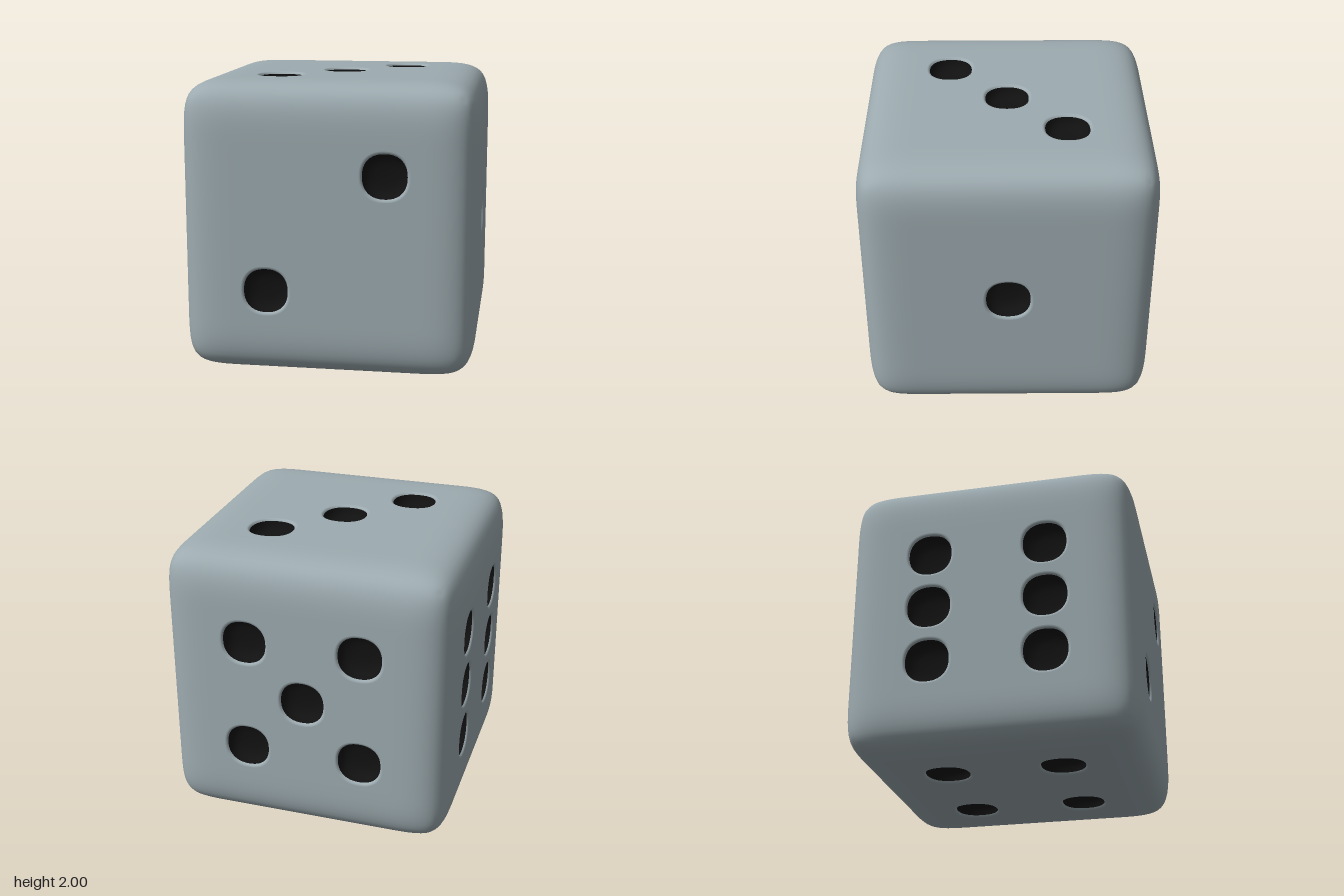
import * as THREE from 'three';
import { mergeVertices } from 'three/addons/utils/BufferGeometryUtils.js';

const FLAT = 0.6; // half width of the flat centre of each face
const SEGMENTS = 48;

// Slightly squared circle, shared by the holes and the bowls
const squircle = a =>
  Math.pow(Math.abs(Math.cos(a)) ** 2.3 + Math.abs(Math.sin(a)) ** 2.3, -1 / 2.3);

function smooth(geometry) {
  geometry.deleteAttribute('uv');
  geometry.deleteAttribute('normal');
  const merged = mergeVertices(geometry, 1e-5);
  merged.computeVertexNormals();
  return merged;
}

// Rounded edges and corners, leaving the flat centre of each face open
function edgeGeometry() {
  const g = new THREE.BoxGeometry(2, 2, 2, 40, 40, 40);
  const pos = g.attributes.position;
  const point = i => [pos.getX(i), pos.getY(i), pos.getZ(i)];
  const kept = [];
  for (let i = 0; i < g.index.count; i += 3) {
    const tri = [0, 1, 2].map(k => g.index.getX(i + k));
    const [a, b, c] = tri.map(point);
    const centre = a.map((v, k) => Math.abs(v + b[k] + c[k]) / 3).sort((m, n) => m - n);
    if (centre[1] > FLAT) kept.push(...tri);
  }
  g.setIndex(kept);
  for (let i = 0; i < pos.count; i++) {
    const p = point(i);
    const t = p.map(v => Math.max(0, (Math.abs(v) - FLAT) / (1 - FLAT)) ** 3);
    const all = t[0] * t[1] * t[2];
    const q = p.map((v, k) => {
      const drop = t[k] * (t[(k + 1) % 3] + t[(k + 2) % 3]) / 15 - all / 30;
      return v - Math.sign(v) * drop;
    });
    pos.setXYZ(i, ...q);
  }
  return smooth(g);
}

// Recess turned from a profile of [radius, height], facing +z
function recessGeometry(profile) {
  const g = new THREE.LatheGeometry(profile.map(p => new THREE.Vector2(...p)), SEGMENTS);
  const pos = g.attributes.position;
  for (let i = 0; i < pos.count; i++) {
    const k = squircle(Math.atan2(pos.getZ(i), pos.getX(i)));
    pos.setXYZ(i, pos.getX(i) * k, pos.getY(i), pos.getZ(i) * k);
  }
  g.rotateX(Math.PI / 2);
  return smooth(g);
}

// Flat centre of a face with a hole for each pip
function panelGeometry(pips) {
  const shape = new THREE.Shape([[-1, -1], [1, -1], [1, 1], [-1, 1]]
    .map(([x, y]) => new THREE.Vector2(x * FLAT, y * FLAT)));
  for (const [x, y] of pips) {
    const ring = [];
    for (let i = 0; i < SEGMENTS; i++) {
      const a = -i / SEGMENTS * Math.PI * 2;
      const r = 0.17 * squircle(a);
      ring.push(new THREE.Vector2(x + r * Math.cos(a), y + r * Math.sin(a)));
    }
    shape.holes.push(new THREE.Path(ring));
  }
  return new THREE.ShapeGeometry(shape);
}

export function createModel() {
  const model = new THREE.Group();
  model.name = 'die';
  const bodyMaterial = new THREE.MeshStandardMaterial({ color: 0x9dabb0 });
  const pipMaterial = new THREE.MeshStandardMaterial({ color: 0x111111 });

  const add = (parent, name, geometry, material, x = 0, y = 0, z = 0) => {
    const mesh = new THREE.Mesh(geometry, material);
    mesh.name = name;
    mesh.position.set(x, y, z);
    parent.add(mesh);
  };

  const cube = new THREE.Group();
  cube.name = 'cube';
  cube.position.y = 1;
  model.add(cube);
  add(cube, 'roundedEdges', edgeGeometry(), bodyMaterial);

  const rim = recessGeometry([[0.17, 0], [0.163, -0.001], [0.156, -0.005], [0.15, -0.015]]);
  const bowl = recessGeometry([[0.15, -0.015], [0.147, -0.04], [0.135, -0.068],
    [0.11, -0.088], [0.07, -0.098], [0, -0.1]]);

  // Pip layouts
  const s = 0.4;
  const one = [[0, 0]];
  const two = [[s, s], [-s, -s]];
  const four = [...two, [-s, s], [s, -s]];
  const six = [...four, [-s, 0], [s, 0]];
  const H = Math.PI / 2;
  const faces = [
    ['frontFace', two, 0, 0],
    ['backFace', [...four, ...one], 0, Math.PI],
    ['leftFace', one, 0, H],
    ['rightFace', six, 0, -H],
    ['topFace', [...two, ...one], -H, 0],
    ['bottomFace', four, H, 0],
  ];
  for (const [name, pips, rx, ry] of faces) {
    const face = new THREE.Group();
    face.name = name;
    face.rotation.set(rx, ry, 0);
    cube.add(face);
    add(face, 'panel', panelGeometry(pips), bodyMaterial, 0, 0, 1);
    for (const [x, y] of pips) {
      add(face, 'pipRim', rim, bodyMaterial, x, y, 1);
      add(face, 'pip', bowl, pipMaterial, x, y, 1);
    }
  }
  return model;
}
